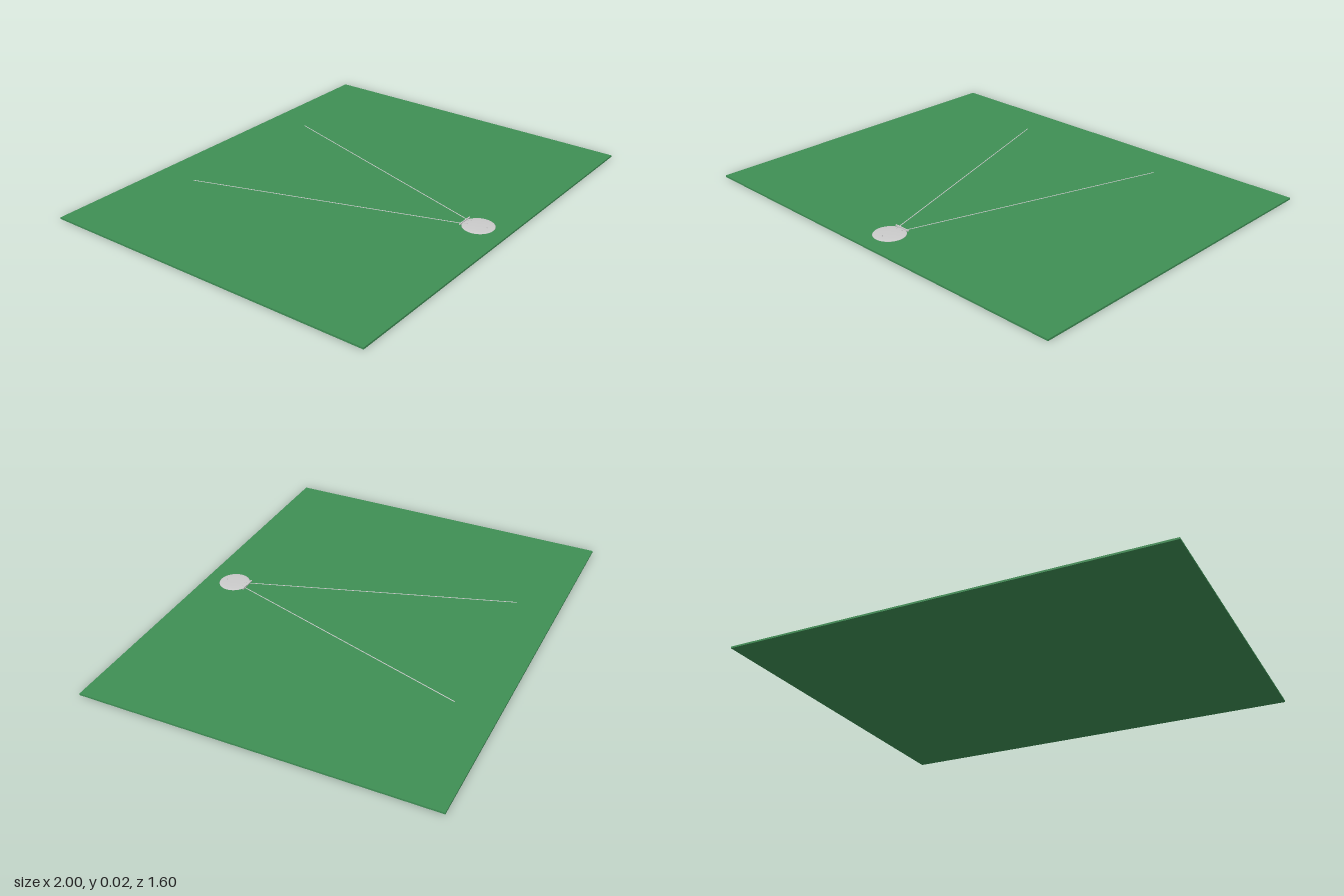
import * as THREE from 'three';

export function createModel() {
  const model = new THREE.Group();
  const grey = new THREE.MeshStandardMaterial({ color: 0xcccccc });
  const green = new THREE.MeshStandardMaterial({ color: 0x3f8f55 });
  const top = 0.008;

  function add(name, geometry, material, x, y, z) {
    const mesh = new THREE.Mesh(geometry, material);
    mesh.name = name;
    mesh.position.set(x, y, z);
    model.add(mesh);
    return mesh;
  }

  // flat rectangular field
  add('field', new THREE.BoxGeometry(2, top, 1.6), green, 0, top / 2, 0);

  // shallow round mound
  const mound = add('mound', new THREE.SphereGeometry(0.072, 32, 8, 0, Math.PI * 2, 0, Math.PI / 2),
    grey, 0, top, 0.66);
  mound.scale.y = 0.06;

  // thin boundary lines fanning out from the mound
  const start = new THREE.Vector2(0.02, 0.597);
  const end = new THREE.Vector2(0.4, -0.605);
  for (const side of [-1, 1]) {
    const line = add(side > 0 ? 'leftLine' : 'rightLine',
      new THREE.BoxGeometry(0.004, 0.001, start.distanceTo(end)), grey,
      side * (start.x + end.x) / 2, top + 0.0005, (start.y + end.y) / 2);
    line.rotation.y = side * Math.atan2(end.x - start.x, end.y - start.y);

    // short posts under the crossbar
    add(side > 0 ? 'leftPost' : 'rightPost', new THREE.BoxGeometry(0.004, 0.003, 0.025),
      grey, side * 0.016, top + 0.0025, 0.604);
  }

  // low bar behind the mound and small peg on it
  add('bar', new THREE.BoxGeometry(0.08, 0.006, 0.005), grey, 0, top + 0.003, 0.592);
  add('peg', new THREE.CylinderGeometry(0.002, 0.004, 0.008, 12), grey, 0, top + 0.005, 0.7);

  return model;
}
